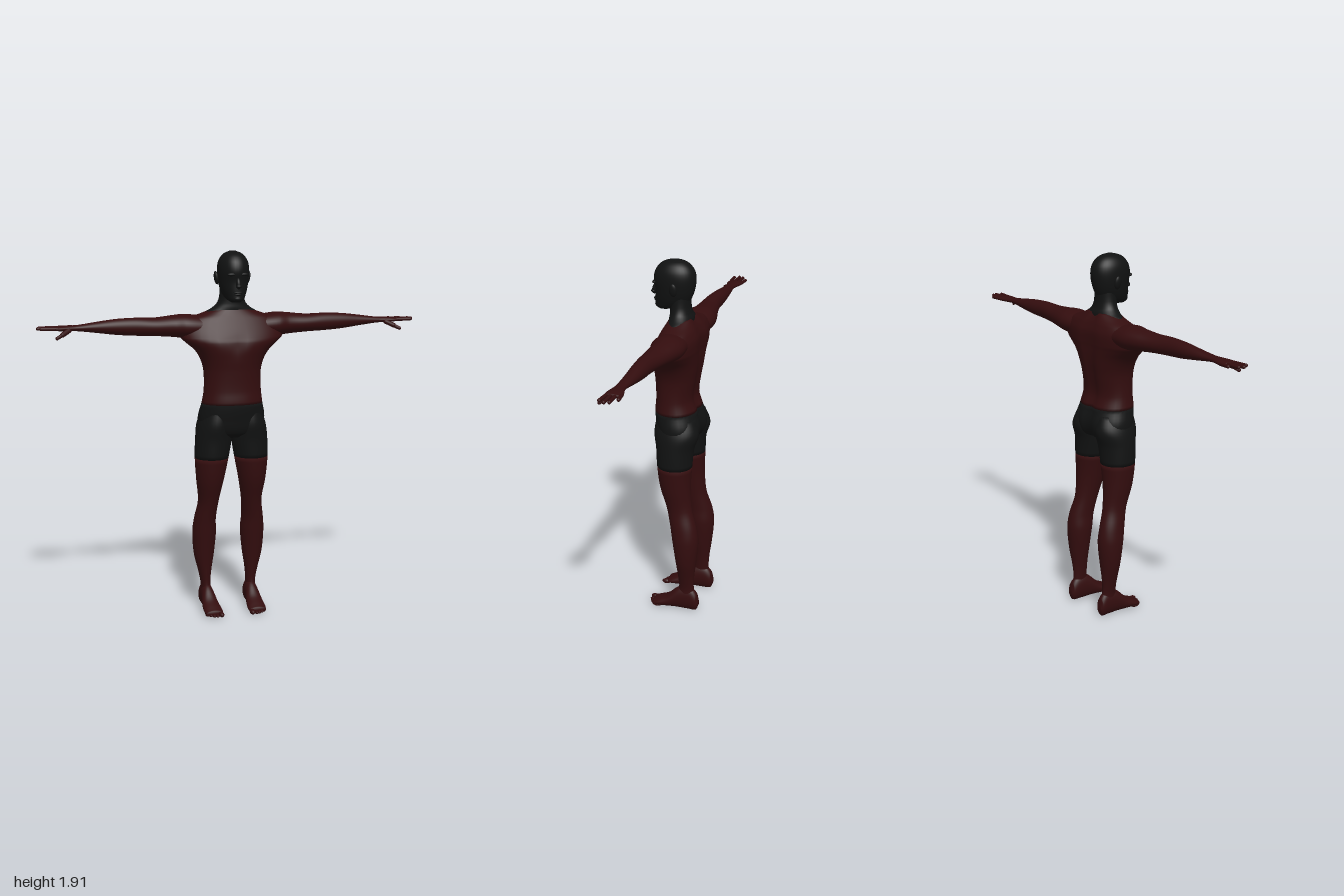
import * as THREE from 'three';

const skin = new THREE.MeshStandardMaterial({ color: 0x330d0e });
skin.name = 'dark red skin';
const black = new THREE.MeshStandardMaterial({ color: 0x111212 });
black.name = 'black';

// Maps (t along the axis, a, b) to x, y, z
const upright = (t, a, b) => [a, t, b];
const sideways = (t, a, b) => [t, a, b];
const forward = (t, a, b) => [a, b, t];

// Smooth closed loft through rings [t, aMin, aMax, bMin, bMax], drawn between from and to
function loft(rings, map, { side = 1, from = -9, to = 9, power = 2, shape = null } = {}) {
  const SEG = 36, STEPS = 5, rows = [];
  for (let i = 0; i < rings.length - 1; i++) {
    const p = [rings[Math.max(i - 1, 0)], rings[i], rings[i + 1], rings[Math.min(i + 2, rings.length - 1)]];
    for (let k = i ? 1 : 0; k <= STEPS; k++) {
      const u = k / STEPS;
      rows.push(p[1].map((v, c) => {
        const h = p[2][0] - p[1][0];
        const slope = (m, n) => (n[c] - m[c]) / (n[0] - m[0]) * h;
        const m0 = slope(p[0], p[2]), m1 = slope(p[1], p[3]);
        return (2 * u ** 3 - 3 * u * u + 1) * v + (u ** 3 - 2 * u * u + u) * m0
          + (3 * u * u - 2 * u ** 3) * p[2][c] + (u ** 3 - u * u) * m1;
      }));
    }
  }
  const used = rows.filter(r => r[0] > from - 1e-6 && r[0] < to + 1e-6);
  const pos = [], index = [];
  const add = (t, a, b) => {
    const [x, y, z] = map(t, a, b);
    pos.push(x * side, y, z);
  };
  const bend = v => Math.sign(v) * Math.abs(v) ** (2 / power);
  for (const [t, a0, a1, b0, b1] of used) {
    for (let j = 0; j < SEG; j++) {
      const q = j / SEG * Math.PI * 2;
      const a = (a0 + a1) / 2 + (a1 - a0) / 2 * bend(Math.cos(q));
      const b = (b0 + b1) / 2 + (b1 - b0) / 2 * bend(Math.sin(q));
      add(t, a, shape ? shape(t, a, b) : b);
    }
  }
  const n = used.length;
  const flip = (map === upright) === (side > 0);
  const tri = (a, b, c) => flip ? index.push(a, c, b) : index.push(a, b, c);
  for (let i = 0; i < n - 1; i++) for (let j = 0; j < SEG; j++) {
    const a = i * SEG + j, b = i * SEG + (j + 1) % SEG;
    tri(a, b, a + SEG);
    tri(b, b + SEG, a + SEG);
  }
  for (const i of [0, n - 1]) {
    const r = used[i], c = pos.length / 3;
    add(r[0], (r[1] + r[2]) / 2, (r[3] + r[4]) / 2);
    for (let j = 0; j < SEG; j++) {
      const a = i * SEG + j, b = i * SEG + (j + 1) % SEG;
      i ? tri(a, b, c) : tri(b, a, c);
    }
  }
  // Turn the faces outward
  let volume = 0;
  const v = k => new THREE.Vector3().fromArray(pos, k * 3).sub(new THREE.Vector3().fromArray(pos, pos.length - 3));
  for (let k = 0; k < index.length; k += 3) volume += v(index[k]).dot(v(index[k + 1]).cross(v(index[k + 2])));
  if (volume < 0) index.reverse();
  const g = new THREE.BufferGeometry();
  g.setAttribute('position', new THREE.Float32BufferAttribute(pos, 3));
  g.setIndex(index);
  g.computeVertexNormals();
  return g;
}

// Symmetric ring for the middle of the body
const mid = (y, w, back, front) => [y, -w, w, back, front];

const bodyRings = [
  mid(0.95, 0.10, -0.06, 0.05), mid(0.98, 0.16, -0.115, 0.088), mid(1.05, 0.176, -0.135, 0.105),
  mid(1.13, 0.16, -0.112, 0.115), mid(1.2, 0.15, -0.092, 0.11), mid(1.3, 0.15, -0.105, 0.115),
  mid(1.36, 0.166, -0.115, 0.122), mid(1.41, 0.198, -0.12, 0.127), mid(1.45, 0.245, -0.122, 0.123),
  mid(1.475, 0.268, -0.124, 0.112), mid(1.53, 0.26, -0.124, 0.085), mid(1.57, 0.225, -0.11, 0.065),
  mid(1.596, 0.15, -0.096, 0.052), mid(1.622, 0.085, -0.08, 0.04),
];
const neckRings = [
  mid(1.575, 0.15, -0.07, 0.03), mid(1.6, 0.135, -0.076, 0.042), mid(1.622, 0.1, -0.075, 0.045),
  mid(1.645, 0.076, -0.066, 0.044), mid(1.68, 0.064, -0.06, 0.045), mid(1.75, 0.06, -0.06, 0.05),
];
const headRings = [
  mid(1.655, 0.022, 0.05, 0.11), mid(1.668, 0.042, 0.0, 0.124), mid(1.69, 0.056, -0.045, 0.125),
  mid(1.72, 0.067, -0.064, 0.124), mid(1.76, 0.075, -0.078, 0.124), mid(1.81, 0.079, -0.086, 0.132),
  mid(1.85, 0.075, -0.08, 0.124), mid(1.88, 0.061, -0.062, 0.104), mid(1.9, 0.04, -0.036, 0.075),
  mid(1.911, 0.012, -0.005, 0.035),
];
const legRings = [
  [0.08, 0.098, 0.152, -0.135, -0.03], [0.13, 0.1, 0.15, -0.126, -0.044], [0.2, 0.095, 0.163, -0.128, -0.04],
  [0.3, 0.08, 0.187, -0.14, -0.028], [0.42, 0.069, 0.195, -0.15, -0.01], [0.5, 0.073, 0.187, -0.139, 0.002],
  [0.6, 0.064, 0.172, -0.11, 0.025], [0.72, 0.042, 0.186, -0.1, 0.062], [0.84, 0.018, 0.195, -0.104, 0.08],
  [0.94, 0.002, 0.192, -0.112, 0.088], [1.02, 0.004, 0.181, -0.135, 0.1], [1.1, 0.02, 0.15, -0.11, 0.09],
];
const armRings = [
  [0.14, 1.47, 1.58, -0.1, 0.06], [0.24, 1.468, 1.592, -0.11, 0.062], [0.3, 1.476, 1.588, -0.1, 0.046],
  [0.4, 1.485, 1.579, -0.073, 0.042], [0.5, 1.49, 1.581, -0.055, 0.035], [0.6, 1.497, 1.577, -0.052, 0.028],
  [0.7, 1.51, 1.565, -0.045, 0.02], [0.8, 1.522, 1.552, -0.035, 0.017], [0.84, 1.522, 1.552, -0.044, 0.022],
  [0.88, 1.523, 1.551, -0.056, 0.029], [0.91, 1.529, 1.546, -0.052, 0.026],
];
const footRings = [
  [-0.152, 0.11, 0.14, 0.03, 0.06], [-0.14, 0.098, 0.152, 0.004, 0.105], [-0.1, 0.091, 0.154, 0, 0.135],
  [-0.04, 0.086, 0.158, 0, 0.125], [0.02, 0.076, 0.166, 0, 0.072], [0.07, 0.07, 0.168, 0, 0.046],
  [0.1, 0.074, 0.162, 0.002, 0.032],
];

// Spine groove, hollow between the buttocks and line down the chest
function bodyRelief(y, x, z) {
  if (z < 0) return z + (y < 1.13 ? 0.022 : 0.016) * Math.exp(-((x / 0.028) ** 2));
  const chest = Math.exp(-(((y - 1.43) / 0.05) ** 2));
  return z - 0.01 * chest * Math.exp(-((x / 0.022) ** 2));
}

export function createModel() {
  const model = new THREE.Group();
  model.name = 'figure';
  const add = (name, geometry, material) => {
    const m = new THREE.Mesh(geometry, material);
    m.name = name;
    model.add(m);
    return m;
  };
  const blob = (name, material, x, y, z, rx, ry, rz) => {
    const m = add(name, new THREE.SphereGeometry(1, 18, 12), material);
    m.position.set(x, y, z);
    m.scale.set(rx, ry, rz);
    return m;
  };
  const finger = (name, a, b, r) => {
    const p = new THREE.Vector3(...a), q = new THREE.Vector3(...b), d = q.clone().sub(p);
    const m = add(name, new THREE.CapsuleGeometry(r, d.length(), 6, 12), skin);
    m.position.copy(p).add(q).multiplyScalar(0.5);
    m.quaternion.setFromUnitVectors(new THREE.Vector3(0, 1, 0), d.normalize());
  };

  // Trunk
  add('torso', loft(bodyRings, upright, { from: 1.13, power: 2.2, shape: bodyRelief }), skin);
  add('shorts', loft(bodyRings, upright, { to: 1.13, power: 2.2, shape: bodyRelief }), black);

  // Neck and head
  add('neck', loft(neckRings, upright), black);
  add('head', loft(headRings, upright, { power: 2.1 }), black);
  const nose = blob('nose', black, 0, 1.752, 0.128, 0.013, 0.03, 0.016);
  nose.rotation.x = -0.3;
  blob('noseTip', black, 0, 1.738, 0.137, 0.015, 0.01, 0.013);
  blob('upperLip', black, 0, 1.707, 0.122, 0.024, 0.007, 0.01);
  blob('lowerLip', black, 0, 1.697, 0.121, 0.02, 0.007, 0.01);
  blob('chin', black, 0, 1.675, 0.112, 0.022, 0.014, 0.016);

  for (const s of [1, -1]) {
    const tag = s > 0 ? 'left' : 'right';
    blob(tag + 'Ear', black, s * 0.083, 1.775, 0.005, 0.012, 0.034, 0.02).rotation.z = -s * 0.15;
    blob(tag + 'Brow', black, s * 0.03, 1.797, 0.118, 0.026, 0.009, 0.012);

    // Legs and feet
    add(tag + 'Leg', loft(legRings, upright, { side: s, to: 0.84 }), skin);
    add(tag + 'ShortsLeg', loft(legRings, upright, { side: s, from: 0.84 }), black);
    add(tag + 'Foot', loft(footRings, forward, { side: s }), skin);
    for (let i = 0; i < 5; i++) {
      const r = i ? 0.0095 : 0.014;
      blob(tag + 'Toe', skin, s * (0.085 + (i ? 0.006 : 0) + i * 0.016), r, 0.108 - i * i * 0.002, r, r, 0.024);
    }

    // Arms and hands
    add(tag + 'Arm', loft(armRings, sideways, { side: s }), skin);
    [[-0.047, -0.057, 0.942], [-0.025, -0.03, 0.982], [-0.004, -0.007, 0.991], [0.016, 0.02, 0.977]].forEach(
      ([z0, z1, tip]) => finger(tag + 'Finger', [s * 0.88, 1.537, z0], [s * tip, 1.539, z1], 0.0088));
    finger(tag + 'Thumb', [s * 0.84, 1.528, 0.016], [s * 0.875, 1.51, 0.04], 0.0125);
    finger(tag + 'ThumbTip', [s * 0.872, 1.511, 0.038], [s * 0.903, 1.495, 0.052], 0.009);
  }
  return model;
}
